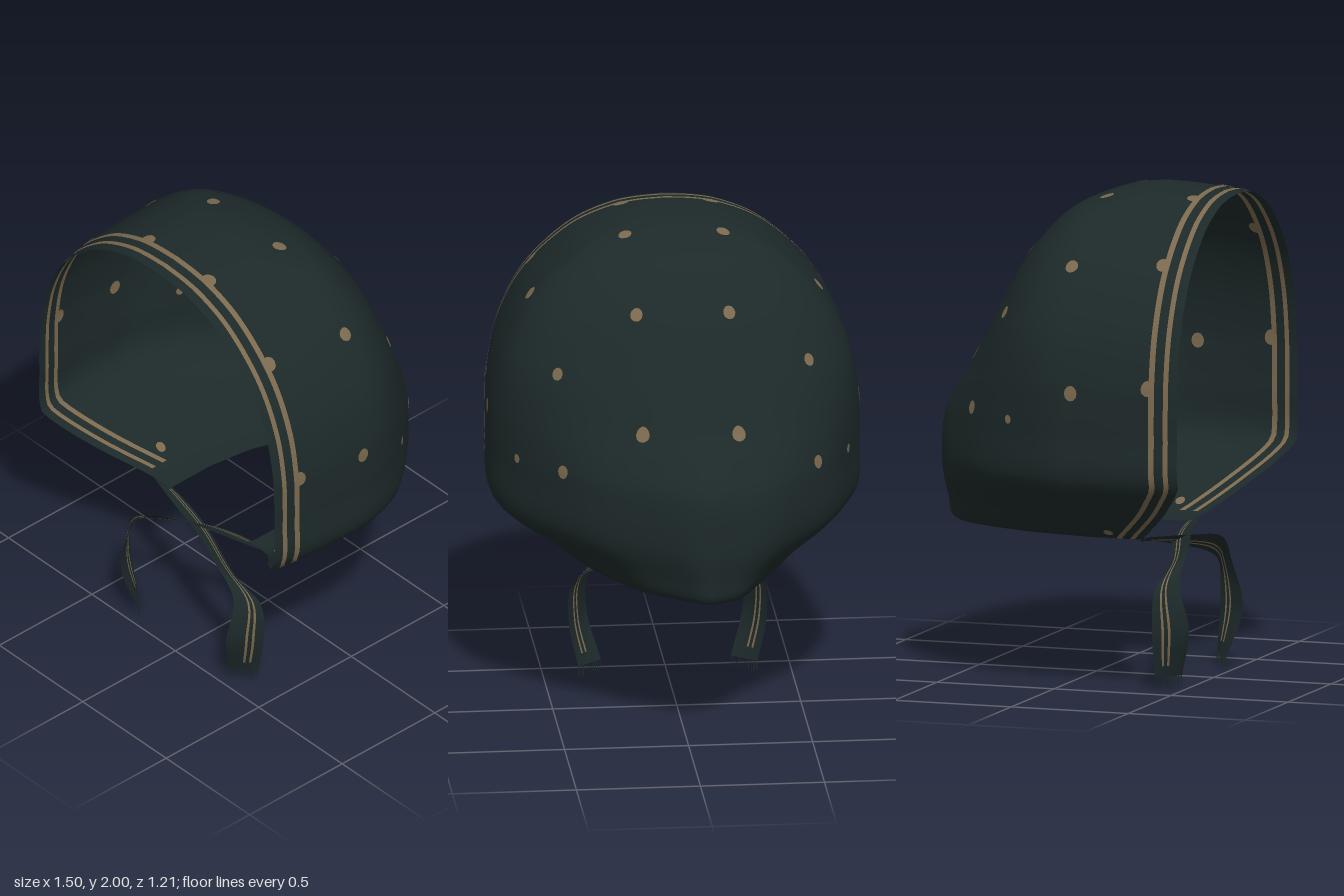
import * as THREE from 'three';

const cloth = new THREE.MeshStandardMaterial({ color: 0x1d2929, side: THREE.DoubleSide });
cloth.name = 'dark teal cloth';
const print = new THREE.MeshStandardMaterial({ color: 0x7b694e, side: THREE.DoubleSide });
print.name = 'tan print';

// Hood profile from the turned-under hem to the crown: half width, height, rearmost depth
const profile = new THREE.CatmullRomCurve3([
  [0.24, 0.59, -0.27], [0.33, 0.598, -0.45], [0.4, 0.625, -0.575], [0.53, 0.72, -0.595],
  [0.73, 0.87, -0.605], [0.745, 1.07, -0.59], [0.745, 1.19, -0.525], [0.74, 1.3, -0.45],
  [0.7, 1.5, -0.345], [0.595, 1.71, -0.235], [0.405, 1.89, -0.08], [0.23, 1.97, 0.09],
  [0.12, 1.992, 0.18], [0, 2.0, 0.25],
].map(p => new THREE.Vector3(...p)));

function section(v) {
  const { x: w, y, z: b } = profile.getPoint(v);
  // Front rim curves back to the ties
  const f = 0.6 - 0.29 * Math.pow(Math.max(0, 0.87 - y) / 0.28, 1.25);
  return { w, y, b, f, zm: Math.max(0.12, b + 0.15) };
}

// Point on the hood: v from hem to crown, u from right rim round the back to left rim
function hoodPoint(v, u) {
  v = THREE.MathUtils.clamp(v, 0, 1);
  const s = section(v), a = Math.abs(u), sign = Math.sign(u);
  let x = s.w, y = s.y, z, back = 0;
  if (a > 0.6) z = s.zm + (s.f - s.zm) * (a - 0.6) / 0.4;
  else {
    // Pointed towards the nape, rounder above
    const t = a / 0.6 * Math.PI / 2;
    const e = 2 / (1.65 + 0.35 * THREE.MathUtils.smoothstep(s.y, 1, 1.5));
    back = Math.pow(Math.max(0, Math.cos(t)), e);
    z = s.zm - (s.zm - s.b) * back;
    x = s.w * Math.pow(Math.sin(t), e);
  }
  // Rim draws in slightly
  const k = Math.max(0, (z - 0.2) / 0.4) ** 2;
  x *= 1 - 0.055 * k;
  y -= 0.03 * k * Math.max(0, (s.y - 1.2) / 0.8);
  // Soft gathers low on the sides
  const g = 1 + 0.014 * Math.sin(u * 30) * Math.max(0, 1 - (s.y - 0.6) / 0.8) * Math.max(0, 1 - a / 0.85);
  x *= g;
  // The back sags to one side
  const lean = 0.1 * back * back * THREE.MathUtils.clamp((1.9 - s.y) / 0.9, 0, 1);
  return new THREE.Vector3(sign * x - lean, y, 0.1 + (z - 0.1) * (back > 0 ? g : 1));
}

function tangents(v, u) {
  const e = 0.01, v0 = Math.max(0, v - e), v1 = Math.min(1, v + e);
  const pv = hoodPoint(v1, u).sub(hoodPoint(v0, u)).divideScalar(v1 - v0);
  const u0 = Math.max(-1, u - e), u1 = Math.min(1, u + e);
  const pu = hoodPoint(v, u1).sub(hoodPoint(v, u0)).divideScalar(u1 - u0);
  const n = v > 0.995 ? new THREE.Vector3(0, 1, 0) : pv.clone().cross(pu).normalize();
  return { pu, pv, n };
}

const offsetPoint = (v, u, d) => hoodPoint(v, u).addScaledVector(tangents(v, u).n, d);

// Surface from a rule, a and b each running 0..1
function grid(na, nb, fn) {
  const pos = [], index = [];
  for (let i = 0; i <= na; i++) {
    for (let j = 0; j <= nb; j++) {
      pos.push(...fn(i / na, j / nb).toArray());
      if (i === na || j === nb) continue;
      const p = i * (nb + 1) + j, q = p + nb + 1;
      index.push(p, q, p + 1, q, q + 1, p + 1);
    }
  }
  const geo = new THREE.BufferGeometry();
  geo.setAttribute('position', new THREE.Float32BufferAttribute(pos, 3));
  geo.setIndex(index);
  geo.computeVertexNormals();
  return geo;
}

function add(parent, name, geo, mat) {
  const m = new THREE.Mesh(geo, mat);
  m.name = name;
  parent.add(m);
  return m;
}

// Nearest surface parameters to a point
function locate(target) {
  let best = Infinity, v = 0, u = 0;
  for (let i = 0; i <= 90; i++) for (let j = 0; j <= 120; j++) {
    const dist = hoodPoint(i / 90, j / 60 - 1).distanceToSquared(target);
    if (dist < best) { best = dist; v = i / 90; u = j / 60 - 1; }
  }
  return { v, u };
}

// Round printed spot that follows the cloth
function spot({ v, u }, r, d) {
  const { pu, pv } = tangents(v, u);
  const t1 = pu.clone().normalize(), along = pv.dot(t1);
  const across = pv.clone().addScaledVector(t1, -along).length();
  return grid(2, 12, (a, b) => {
    const ang = b * Math.PI * 2;
    const dv = a * r * 1.15 * Math.sin(ang) / across;
    const du = (a * r * Math.cos(ang) - dv * along) / pu.length();
    return offsetPoint(v + dv, THREE.MathUtils.clamp(u + du, -1, 1), d);
  });
}

export function createModel() {
  const model = new THREE.Group();
  model.name = 'headscarf';

  // Hood shell with smooth crown
  const rows = 78, cols = 90;
  const shell = grid(rows, cols, (a, b) => hoodPoint(a, b * 2 - 1));
  const normals = shell.attributes.normal;
  for (let j = 0; j <= cols; j++) normals.setXYZ(rows * (cols + 1) + j, 0, 1, 0);
  add(model, 'hood', shell, cloth);

  // Border stripes beside the rim, inside and out
  const border = new THREE.Group();
  border.name = 'borderStripes';
  model.add(border);
  for (const [d0, d1] of [[0.036, 0.056], [0.092, 0.115]])
    for (const side of [-1, 1]) for (const off of [-0.004, 0.004])
      add(border, 'borderStripe', grid(78, 1, (a, b) => {
        const v = 0.12 + 0.88 * a, s = section(v), d = d0 + (d1 - d0) * b;
        return offsetPoint(v, side * (1 - 0.4 * d / (s.f - s.zm)), off);
      }), print);

  // Spots, mirrored left and right: x, y, z, radius
  const spots = new THREE.Group();
  spots.name = 'spots';
  model.add(spots);
  const places = [
    [0.2, 1.95, 0.115, 0.026], [0.57, 1.74, 0.11, 0.025], [0.73, 1.25, 0.16, 0.027],
    [0.51, 1.51, -0.21, 0.023], [0.2, 1.74, -0.23, 0.025], [0.2, 1.3, -0.45, 0.028],
    [0.48, 1.12, -0.3, 0.024], [0.66, 1.11, -0.13, 0.016], [0.4, 0.66, 0.2, 0.02],
    [0.18, 1.96, 0.479, 0.027], [0.52, 1.73, 0.479, 0.027], [0.73, 1.27, 0.479, 0.027],
  ];
  for (const [x, y, z, r] of places) for (const side of [-1, 1]) {
    const place = locate(new THREE.Vector3(side * x, y, z));
    for (const off of [-0.005, 0.005]) add(spots, 'spot', spot(place, r, off), print);
  }

  // Two crossing ties: path centres and half-width vectors
  const vecs = list => new THREE.CatmullRomCurve3(list.map(p => new THREE.Vector3(...p)));
  const path = vecs([[0.31, 0.595, 0.31], [0.16, 0.585, 0.335], [0, 0.562, 0.365], [-0.22, 0.51, 0.43],
    [-0.345, 0.41, 0.425], [-0.357, 0.24, 0.445], [-0.312, 0.045, 0.42]]);
  const width = vecs([[0, 0.01, 0.02], [0, 0.012, 0.034], [0, 0.02, 0.038], [0.02, 0.036, 0.035],
    [0.036, 0.012, 0.04], [0.042, 0, 0.064], [0.05, 0, 0.04]]);
  for (const side of [1, -1]) {
    const tie = new THREE.Group();
    tie.name = side > 0 ? 'rightTie' : 'leftTie';
    model.add(tie);
    const at = (t, k, off) => {
      const w = width.getPoint(t);
      const n = path.getTangent(t).cross(w).normalize();
      const p = path.getPoint(t).addScaledVector(w, k).addScaledVector(n, off);
      p.x *= side;
      p.y += side * 0.008 * Math.sin(Math.PI * Math.min(1, t * 1.5));
      return p;
    };
    add(tie, 'ribbon', grid(40, 4, (a, b) => at(a, b * 2 - 1, 0)), cloth);
    for (const k of [-0.5, -0.15]) for (const off of [-0.003, 0.003])
      add(tie, 'ribbonStripe', grid(40, 1, (a, b) => at(0.08 + 0.88 * a, k + 0.14 * b, off)), print);
    // Fringe threads
    for (let i = 0; i < 10; i++) {
      const p = at(1, -0.95 + i * 1.9 / 9, 0);
      const len = 0.038 + (i % 3) * 0.0035;
      add(tie, 'fringeThread', new THREE.BoxGeometry(0.003, len, 0.003), cloth)
        .position.set(p.x, p.y - len / 2, p.z);
    }
  }
  return model;
}
